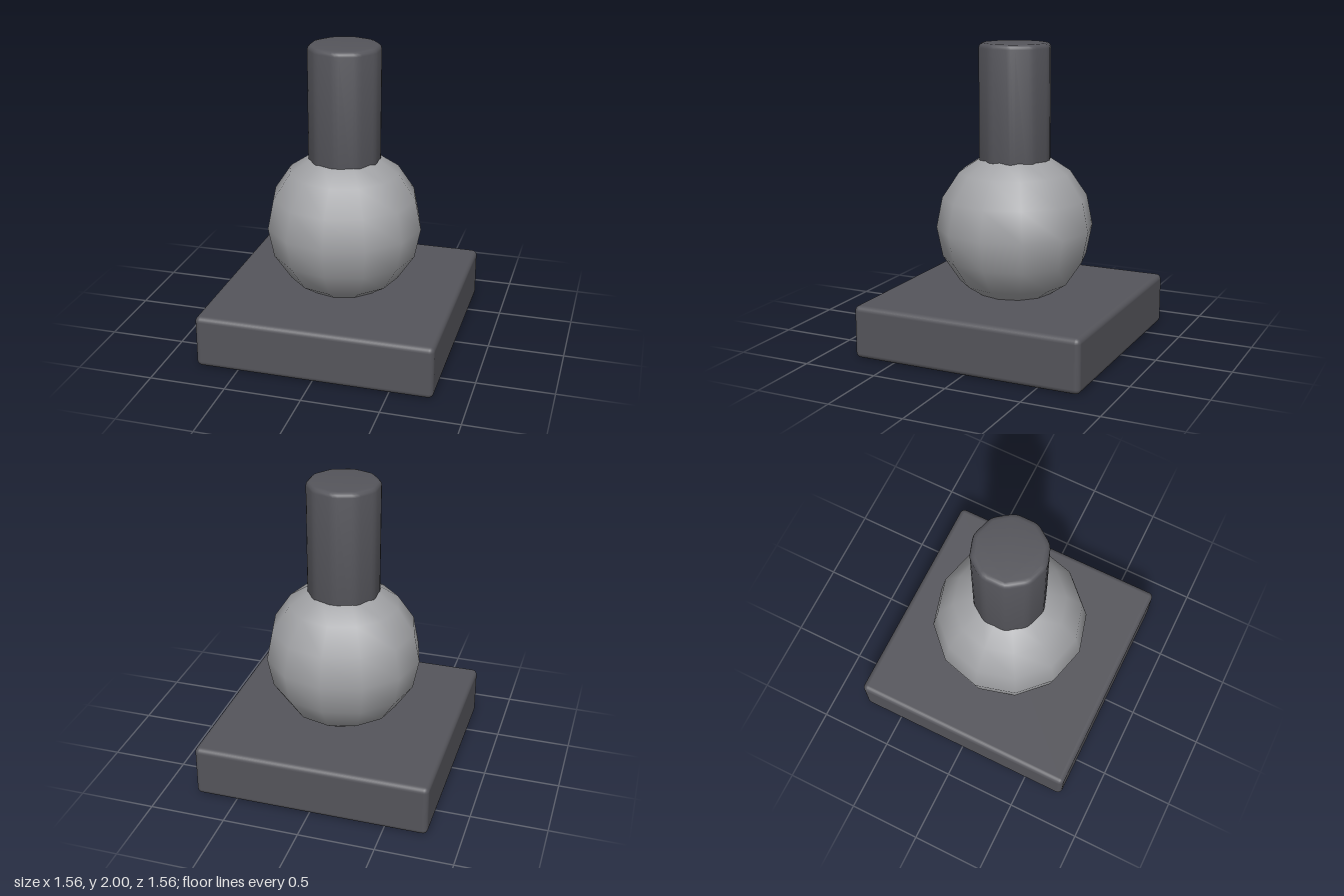
import * as THREE from 'three';
import { toCreasedNormals } from 'three/addons/utils/BufferGeometryUtils.js';
import { RoundedBoxGeometry } from 'three/addons/geometries/RoundedBoxGeometry.js';

const darkGrey = new THREE.MeshStandardMaterial({ color: 0x55555b });
const lightGrey = new THREE.MeshStandardMaterial({ color: 0xa2a3a6 });

// Regular polygon with a corner on +y and every corner softened
function softPolygon(sides, radius, soften) {
  const corner = (i) => {
    const a = Math.PI / 2 + (i * 2 * Math.PI) / sides;
    return new THREE.Vector2(Math.cos(a) * radius, Math.sin(a) * radius);
  };
  const t = soften / (2 * radius * Math.sin(Math.PI / sides));
  const shape = new THREE.Shape();
  for (let i = 0; i < sides; i++) {
    const c = corner(i);
    const before = c.clone().lerp(corner(i - 1), t);
    const after = c.clone().lerp(corner(i + 1), t);
    if (i === 0) shape.moveTo(before.x, before.y);
    else shape.lineTo(before.x, before.y);
    shape.quadraticCurveTo(c.x, c.y, after.x, after.y);
  }
  shape.closePath();
  return shape;
}

export function createModel() {
  const group = new THREE.Group();
  const add = (name, geometry, material, y) => {
    const mesh = new THREE.Mesh(geometry, material);
    mesh.name = name;
    mesh.position.y = y;
    group.add(mesh);
  };

  // Square plinth with rounded edges
  add('base', new RoundedBoxGeometry(1.56, 0.35, 1.56, 3, 0.035), darkGrey, 0.175);

  // Coarse, smooth-shaded ball sunk slightly into the base
  add('ball', new THREE.SphereGeometry(0.52, 12, 8), lightGrey, 0.79);

  // Ten-sided post with bevelled edges, rising out of the ball
  const bevel = 0.03, bottom = 1.0, top = 2.0;
  const post = new THREE.ExtrudeGeometry(softPolygon(10, 0.242, 0.03), {
    depth: top - bottom - 2 * bevel,
    bevelThickness: bevel,
    bevelSize: bevel,
    bevelOffset: -bevel,
    bevelSegments: 3,
    curveSegments: 2,
  });
  post.translate(0, 0, bevel);
  post.rotateX(-Math.PI / 2);
  add('post', toCreasedNormals(post, 0.7), darkGrey, bottom);

  return group;
}
